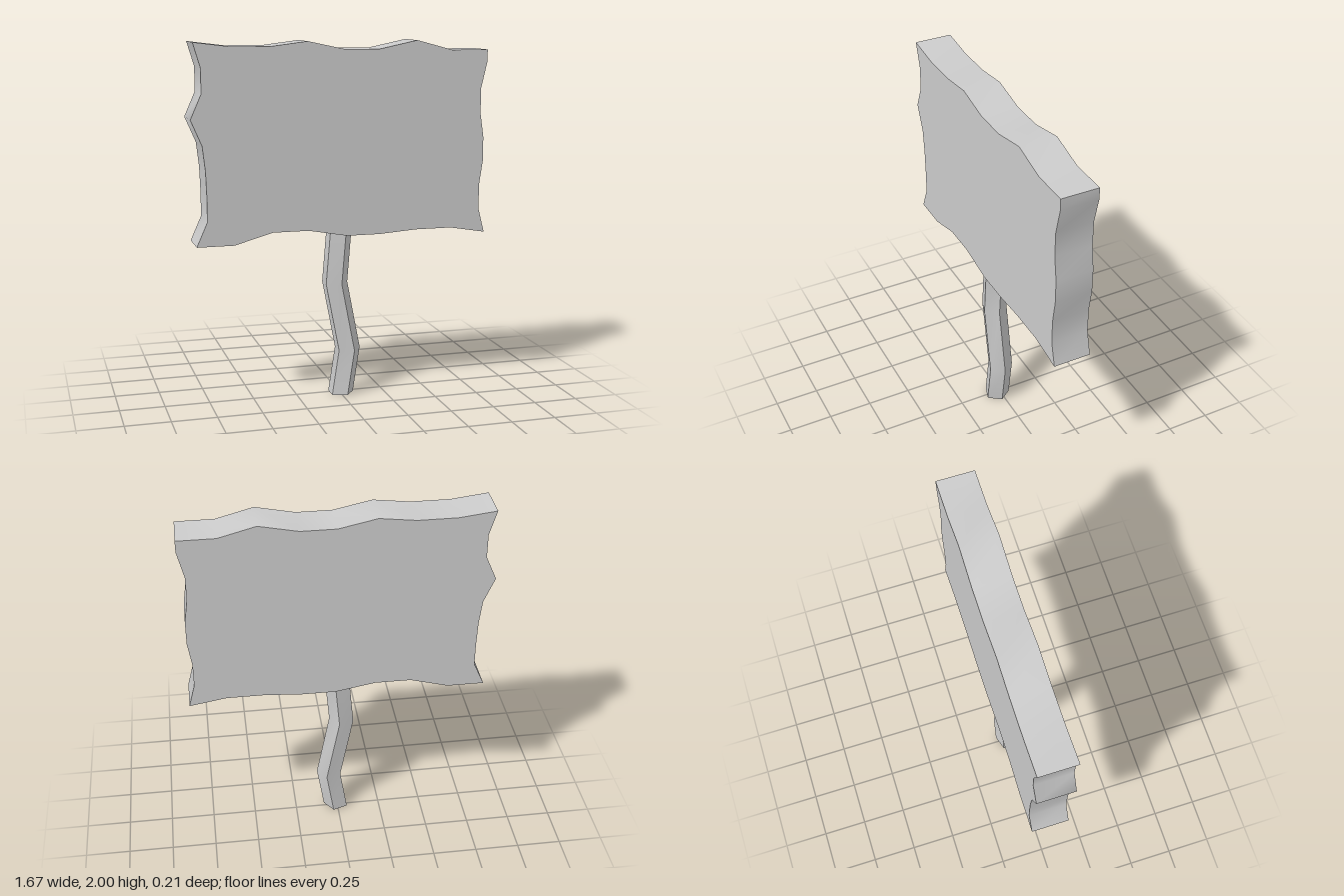
import * as THREE from 'three';
import { toCreasedNormals } from 'three/addons/utils/BufferGeometryUtils.js';

const CREASE = 0.95;

function makeMesh(name, geometry) {
  const material = new THREE.MeshStandardMaterial({ color: 0xcccccc });
  const mesh = new THREE.Mesh(toCreasedNormals(geometry, CREASE), material);
  mesh.name = name;
  return mesh;
}

// Thick board with a rough, wavy outline
function createBoard() {
  const top = [[-0.82, 2], [-0.615, 1.975], [-0.4, 1.975], [-0.2, 2], [0.01, 1.955],
    [0.205, 1.955], [0.42, 2], [0.625, 1.945], [0.835, 1.945]];
  const leftSide = [[0.835, 1.88], [0.8, 1.73], [0.8, 1.59], [0.82, 1.455],
    [0.82, 1.32], [0.8, 1.185], [0.8, 1.045], [0.835, 0.91]];
  const bottom = [[0.63, 0.945], [0.42, 0.945], [0.21, 0.93], [0.02, 0.93],
    [-0.2, 0.97], [-0.4, 0.97], [-0.615, 0.91], [-0.82, 0.91]];
  const rightSide = [[-0.76, 1.045], [-0.76, 1.18], [-0.765, 1.32], [-0.78, 1.455],
    [-0.84, 1.595], [-0.78, 1.73], [-0.78, 1.865]];

  const outline = [...top, ...leftSide, ...bottom, ...rightSide]
    .map(([x, y]) => new THREE.Vector2(x, y));
  const depth = 0.21;
  const geometry = new THREE.ExtrudeGeometry(new THREE.Shape(outline), { depth, bevelEnabled: false });
  geometry.translate(0, 0, -depth / 2);
  return makeMesh('board', geometry);
}

// Crooked five-sided post: the rings of a straight cylinder follow a bent centre line
function createPost() {
  const centreLine = [[0.005, 0], [0.045, 0.26], [-0.03, 0.65], [-0.005, 0.95]];
  const segments = centreLine.length - 1;
  const geometry = new THREE.CylinderGeometry(0.0745, 0.0745, segments, 5, segments, false, Math.PI / 2);
  const position = geometry.attributes.position;
  for (let i = 0; i < position.count; i++) {
    const [x, y] = centreLine[Math.round(position.getY(i) + segments / 2)];
    position.setXYZ(i, position.getX(i) + x, y, position.getZ(i) + 0.02);
  }
  return makeMesh('post', geometry);
}

export function createModel() {
  const group = new THREE.Group();
  group.name = 'signpost';
  group.add(createBoard(), createPost());
  return group;
}
